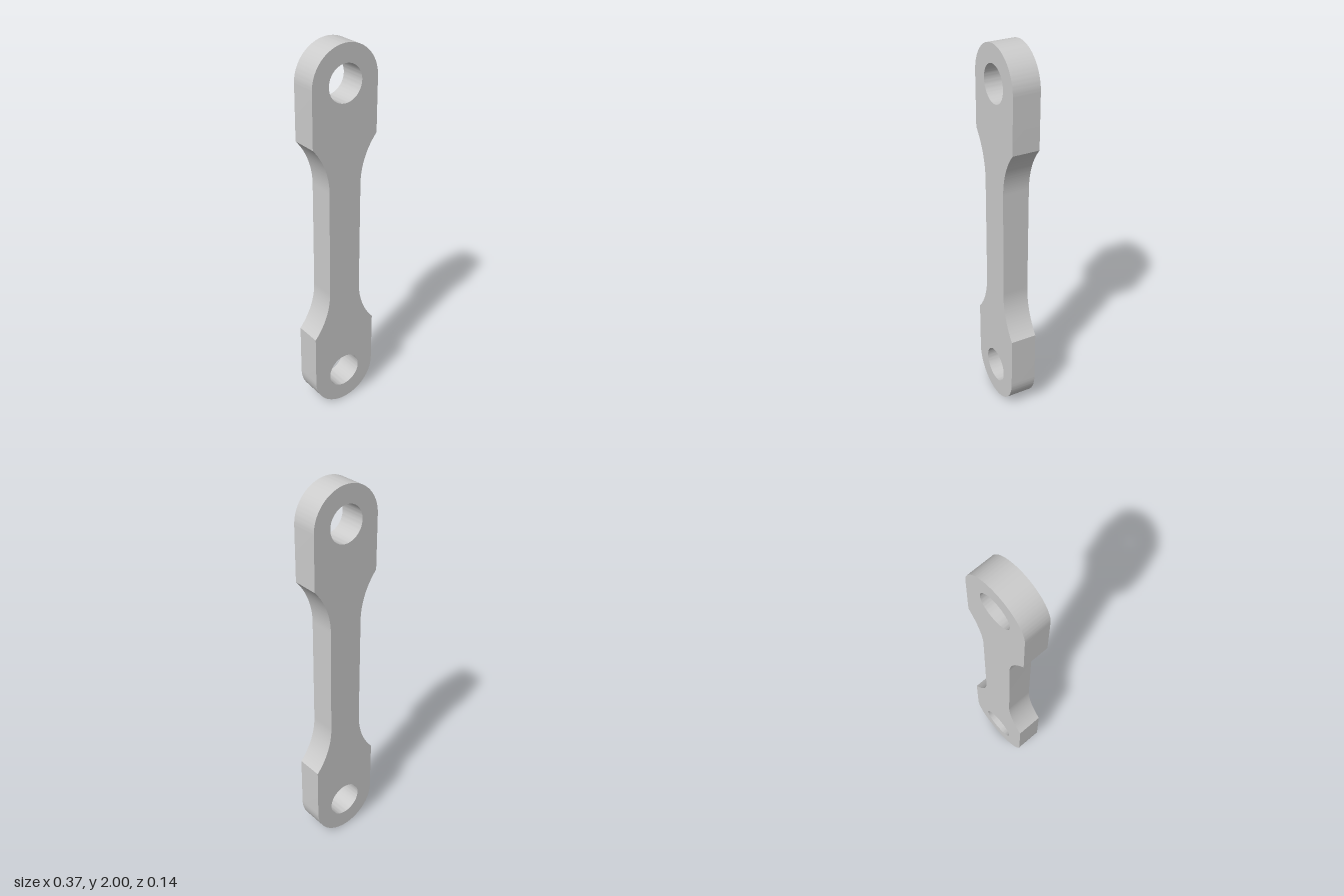
import * as THREE from 'three';
import { toCreasedNormals } from 'three/addons/utils/BufferGeometryUtils.js';

const HEIGHT = 2;
const END_R = 0.186;      // rounded end radius, also half the end width
const WAIST = 0.093;      // half width of the slim middle
const HOLE_R = 0.094;
const FILLET_R = 0.372;   // concave shoulder radius
const SHOULDER = 0.467;   // height where the lower end starts to narrow
const DEPTH = 0.139;

export function createModel() {
  const group = new THREE.Group();
  group.name = 'linkBar';

  const angle = Math.acos(1 - (END_R - WAIST) / FILLET_R);
  const filletX = WAIST + FILLET_R;
  const filletY = SHOULDER + FILLET_R * Math.sin(angle);
  const topY = HEIGHT - END_R;

  // Outline, counter-clockwise: bottom end, right shoulders, top end, left shoulders
  const outline = new THREE.Shape();
  outline.absarc(0, END_R, END_R, Math.PI, 2 * Math.PI, false);
  outline.absarc(filletX, filletY, FILLET_R, Math.PI + angle, Math.PI, true);
  outline.absarc(filletX, HEIGHT - filletY, FILLET_R, Math.PI, Math.PI - angle, true);
  outline.absarc(0, topY, END_R, 0, Math.PI, false);
  outline.absarc(-filletX, HEIGHT - filletY, FILLET_R, angle, 0, true);
  outline.absarc(-filletX, filletY, FILLET_R, 0, -angle, true);
  outline.closePath();

  // Pin holes at both ends
  for (const y of [END_R, topY]) {
    const hole = new THREE.Path();
    hole.absarc(0, y, HOLE_R, 0, 2 * Math.PI, true);
    outline.holes.push(hole);
  }

  const plate = new THREE.ExtrudeGeometry(outline, {
    depth: DEPTH, bevelEnabled: false, curveSegments: 40,
  });
  plate.translate(0, 0, -DEPTH / 2);

  const link = new THREE.Mesh(
    toCreasedNormals(plate, 0.5),
    new THREE.MeshStandardMaterial({ color: 0xcccccc }),
  );
  link.name = 'linkPlate';
  group.add(link);
  return group;
}
